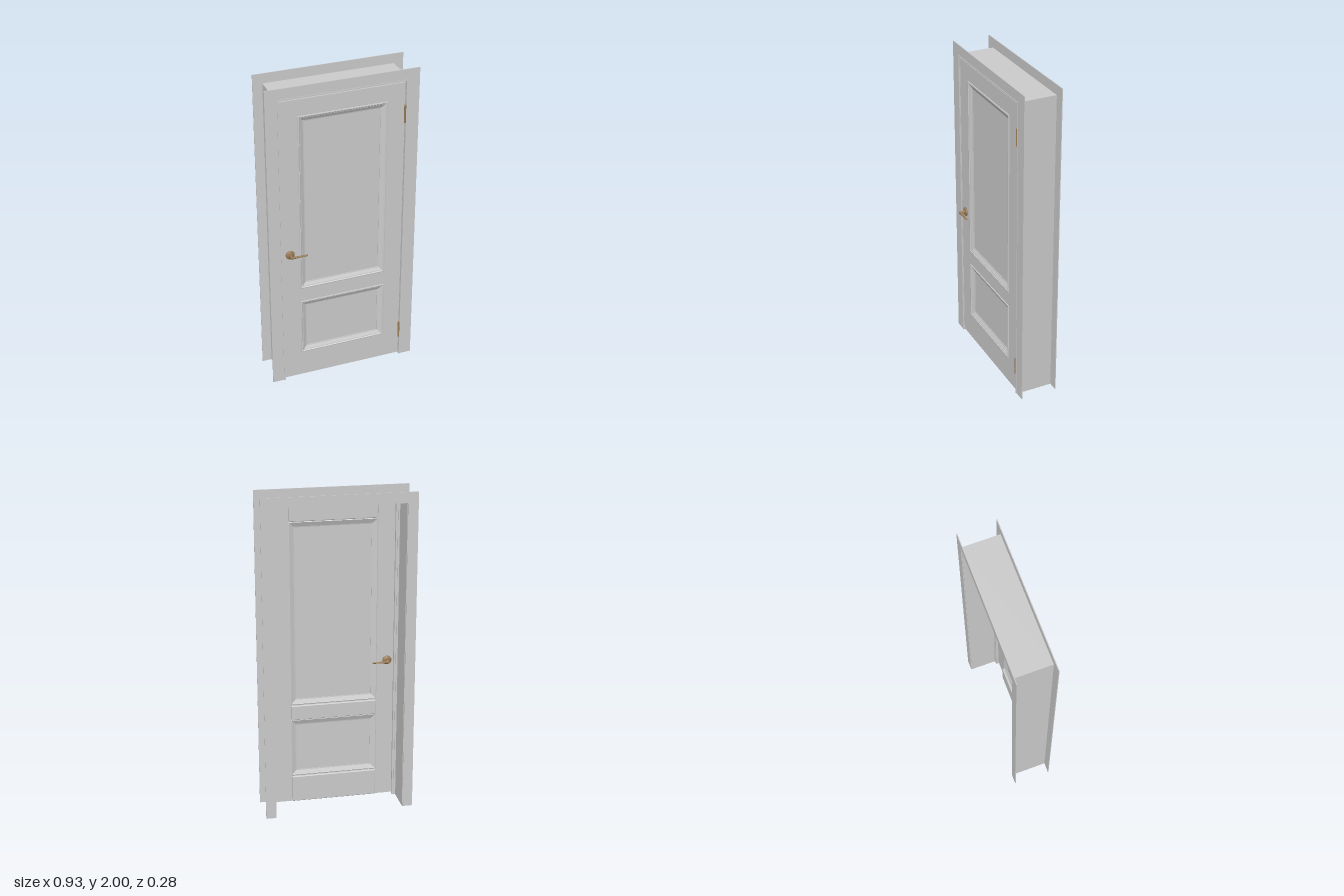
import * as THREE from 'three';
import { RoundedBoxGeometry } from 'three/addons/geometries/RoundedBoxGeometry.js';

const grey = new THREE.MeshStandardMaterial({ color: 0xcccccc });
const bronze = new THREE.MeshStandardMaterial({ color: 0x9a7b55 });

function add(parent, name, geometry, material = grey) {
  const mesh = new THREE.Mesh(geometry, material);
  mesh.name = name;
  parent.add(mesh);
  return mesh;
}

function group(parent, name) {
  const g = new THREE.Group();
  g.name = name;
  parent.add(g);
  return g;
}

// Box given by its limits on each axis
function block(parent, name, x0, x1, y0, y1, z0, z1, material = grey) {
  const mesh = add(parent, name, new THREE.BoxGeometry(x1 - x0, y1 - y0, z1 - z0), material);
  mesh.position.set((x0 + x1) / 2, (y0 + y1) / 2, (z0 + z1) / 2);
  return mesh;
}

// Mitred rectangular moulding; profile is a list of [inset, z], facing +z
function mouldingGeometry(halfWidth, y0, y1, profile) {
  const rings = profile.map(([d, z]) => [
    [-halfWidth + d, y0 + d, z], [halfWidth - d, y0 + d, z],
    [halfWidth - d, y1 - d, z], [-halfWidth + d, y1 - d, z],
  ]);
  const points = [];
  for (let i = 0; i < rings.length - 1; i++) {
    for (let k = 0; k < 4; k++) {
      const n = (k + 1) % 4;
      const a = rings[i][k], b = rings[i][n], c = rings[i + 1][n], d = rings[i + 1][k];
      points.push(...a, ...b, ...c, ...a, ...c, ...d);
    }
  }
  const g = new THREE.BufferGeometry();
  g.setAttribute('position', new THREE.Float32BufferAttribute(points, 3));
  g.computeVertexNormals();
  return g;
}

// Flat mitred trim around the opening: two legs and a head
function casing(parent, name, outer, inner, top, innerTop, z, depth) {
  const g = group(parent, name);
  const pieces = {
    leftLeg: [[inner, 0], [outer, 0], [outer, top], [inner, innerTop]],
    head: [[-inner, innerTop], [inner, innerTop], [outer, top], [-outer, top]],
    rightLeg: [[-outer, 0], [-inner, 0], [-inner, innerTop], [-outer, top]],
  };
  for (const [part, corners] of Object.entries(pieces)) {
    const shape = new THREE.Shape(corners.map(([x, y]) => new THREE.Vector2(x, y)));
    const geo = new THREE.ExtrudeGeometry(shape, { depth, bevelEnabled: false });
    add(g, part, geo).position.z = z;
  }
  return g;
}

// Round rose, neck and tapered lever, facing +z from the origin; dir is the lever's x direction
function handle(dir) {
  const g = new THREE.Group();
  const roseProfile = [[0, 0], [0.028, 0], [0.028, 0.003], [0.024, 0.007], [0.017, 0.008], [0.015, 0.011], [0, 0.011]];
  add(g, 'rose', new THREE.LatheGeometry(roseProfile.map(p => new THREE.Vector2(...p)), 28), bronze)
    .rotation.x = Math.PI / 2;
  const neck = add(g, 'neck', new THREE.CylinderGeometry(0.008, 0.01, 0.04, 16), bronze);
  neck.rotation.x = Math.PI / 2;
  neck.position.z = 0.025;
  const lever = new RoundedBoxGeometry(0.108, 0.014, 0.012, 3, 0.005);
  const p = lever.attributes.position;
  for (let i = 0; i < p.count; i++) {
    const t = p.getX(i) / 0.108 + 0.5;
    p.setY(i, p.getY(i) * (1 - 0.5 * t) + 0.004 * Math.sin(t * Math.PI));
  }
  lever.computeVertexNormals();
  if (dir < 0) lever.rotateZ(Math.PI);
  add(g, 'lever', lever, bronze).position.set(dir * 0.045, 0, 0.04);
  return g;
}

export function createModel() {
  const model = new THREE.Group();
  model.name = 'door';

  // Lining of the wall opening, with stepped stops behind the leaf
  const lining = group(model, 'lining');
  for (const s of [-1, 1]) {
    const side = s > 0 ? 'left' : 'right';
    const jamb = (name, a, b, y1, z0, z1) =>
      block(lining, side + name, Math.min(s * a, s * b), Math.max(s * a, s * b), 0, y1, z0, z1);
    jamb('Jamb', 0.397, 0.403, 1.94, -0.137, 0.09);
    jamb('Rebate', 0.386, 0.397, 1.93, 0.03, 0.089);
    jamb('Stop', 0.374, 0.386, 1.918, 0.034, 0.05);
  }
  block(lining, 'headJamb', -0.397, 0.397, 1.934, 1.94, -0.137, 0.09);
  block(lining, 'headRebate', -0.397, 0.397, 1.922, 1.934, 0.03, 0.089);
  block(lining, 'headStop', -0.386, 0.386, 1.908, 1.922, 0.034, 0.05);

  // Trim on both faces of the wall, the front one with a raised inner bead
  casing(model, 'frontCasing', 0.467, 0.388, 2, 1.93, 0.09, 0.005);
  casing(model, 'frontCasingBead', 0.394, 0.386, 1.936, 1.928, 0.09, 0.008);
  casing(model, 'backCasing', 0.462, 0.4, 2, 1.936, -0.142, 0.005);

  // Door leaf: stiles, rails and two framed panels
  const leaf = group(model, 'leaf');
  const open = 0.27, front = 0.088, back = 0.052;
  block(leaf, 'rightStile', -0.383, -open, 0.01, 1.917, back, front);
  block(leaf, 'leftStile', open, 0.382, 0.01, 1.917, back, front);
  const rails = { bottomRail: [0.01, 0.185], middleRail: [0.56, 0.66], topRail: [1.81, 1.917] };
  for (const [name, [y0, y1]] of Object.entries(rails)) {
    block(leaf, name, -open, open, y0, y1, back, front);
    const facing = add(leaf, name + 'BackFacing', new RoundedBoxGeometry(open * 2 - 0.006, y1 - y0 - 0.006, 0.026, 2, 0.005));
    facing.position.set(0, (y0 + y1) / 2, 0.051);
  }

  const frontProfile = [[-0.004, front], [-0.003, 0.092], [0.003, 0.093], [0.007, 0.089], [0.012, 0.088], [0.03, 0.079], [0.036, 0.078], [0.036, 0.074]];
  const backProfile = [[0, -back], [0.004, -0.05], [0.009, -0.052], [0.03, -0.06], [0.036, -0.061], [0.036, -0.065]];
  for (const [name, y0, y1] of [['lowerPanel', 0.185, 0.56], ['upperPanel', 0.66, 1.81]]) {
    block(leaf, name, -open, open, y0, y1, 0.063, 0.075);
    add(leaf, name + 'FrontMoulding', mouldingGeometry(open, y0, y1, frontProfile));
    add(leaf, name + 'BackMoulding', mouldingGeometry(open, y0, y1, backProfile)).rotation.y = Math.PI;
  }

  // Lever handles on both faces, both pointing to the middle of the leaf
  const frontHandle = handle(1);
  frontHandle.name = 'frontHandle';
  frontHandle.position.set(-0.335, 0.912, front);
  const backHandle = handle(-1);
  backHandle.name = 'backHandle';
  backHandle.rotation.y = Math.PI;
  backHandle.position.set(-0.335, 0.912, back);
  model.add(frontHandle, backHandle);

  // Hinges: a three-part barrel with end caps and a leaf plate
  for (const [name, y] of [['lowerHinge', 0.195], ['upperHinge', 1.72]]) {
    const hinge = group(model, name);
    hinge.position.set(0.381, y, 0.094);
    for (const k of [-1, 0, 1]) {
      add(hinge, 'knuckle', new THREE.CylinderGeometry(0.006, 0.006, 0.034, 14), bronze).position.y = k * 0.036;
    }
    add(hinge, 'pin', new THREE.CylinderGeometry(0.004, 0.004, 0.118, 12), bronze);
    block(hinge, 'plate', -0.002, 0.002, -0.053, 0.053, -0.03, -0.002, bronze);
  }
  return model;
}
